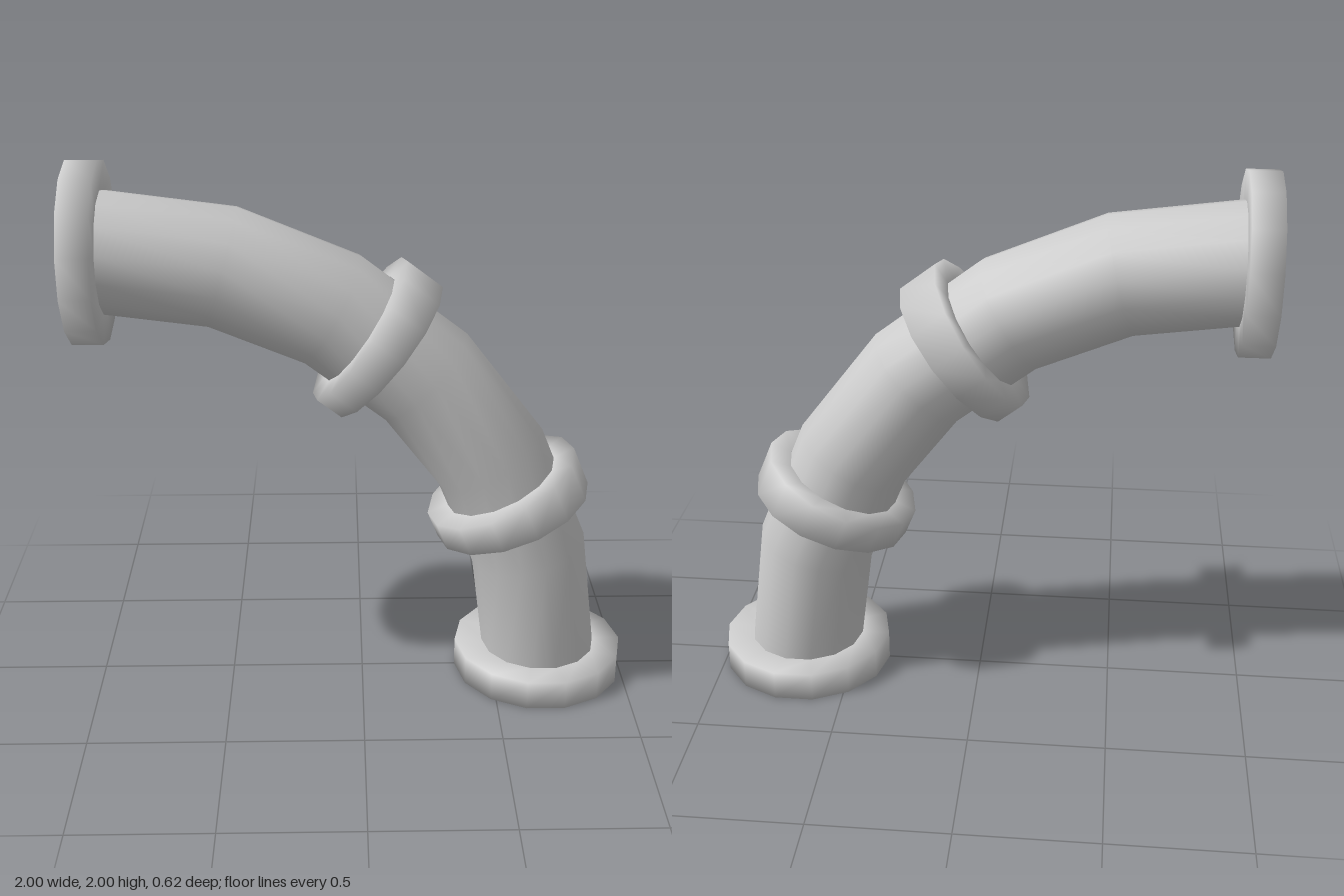
import * as THREE from 'three';

const SIDES = 14;
const CX = -0.89, CY = 0.11;   // centre of the bend
const R = 1.57;                // bend radius
const PIPE = 0.216, BORE = 0.208, FLANGE = 0.32, COLLAR = 0.297, LIP = 0.11;
const STEP = 15;               // degrees per straight pipe segment

// Sweeps a 14-sided ring through stations [angle in degrees, radius, shift along the tangent]
function sweep(name, stations, material) {
  const pos = [], index = [];
  for (const [deg, r, shift = 0] of stations) {
    const a = THREE.MathUtils.degToRad(deg);
    // keep centres on the chord between neighbouring bend joints
    const mid = Math.min(Math.floor(deg / STEP), 5) * STEP + STEP / 2;
    const rc = R * Math.cos(THREE.MathUtils.degToRad(STEP / 2)) / Math.cos(THREE.MathUtils.degToRad(deg - mid));
    for (let j = 0; j < SIDES; j++) {
      const t = j / SIDES * Math.PI * 2;
      const d = rc + r * Math.cos(t);
      pos.push(
        CX + d * Math.cos(a) - shift * Math.sin(a),
        CY + d * Math.sin(a) + shift * Math.cos(a),
        r * Math.sin(t));
    }
  }
  for (let i = 0; i < stations.length - 1; i++) {
    for (let j = 0; j < SIDES; j++) {
      const k = (j + 1) % SIDES;
      const a = i * SIDES + j, b = i * SIDES + k, c = a + SIDES, d = b + SIDES;
      index.push(a, c, b, b, c, d);
    }
  }
  const geo = new THREE.BufferGeometry();
  geo.setAttribute('position', new THREE.Float32BufferAttribute(pos, 3));
  geo.setIndex(index);
  geo.computeVertexNormals();
  const mesh = new THREE.Mesh(geo, material);
  mesh.name = name;
  return mesh;
}

export function createModel() {
  const group = new THREE.Group();
  group.name = 'pipeElbow';
  const mat = new THREE.MeshStandardMaterial({ color: 0xcccccc });

  // Bent pipe and its inner wall
  const joints = [0, 1, 2, 3, 4, 5, 6].map(i => i * STEP);
  group.add(sweep('pipe', joints.map(a => [a, PIPE]), mat));
  group.add(sweep('bore', joints.slice().reverse().map(a => [a, BORE]), mat));

  // End flanges with open holes
  group.add(sweep('bottomFlange', [
    [0, BORE, 0], [0, BORE, -LIP], [0, FLANGE, -LIP], [0, FLANGE, 0], [0, PIPE, 0],
  ], mat));
  group.add(sweep('topFlange', [
    [90, PIPE, 0], [90, FLANGE, 0], [90, FLANGE, LIP], [90, BORE, LIP], [90, BORE, 0],
  ], mat));

  // Collars around the pipe
  for (const [name, from, to] of [['lowerCollar', 21.3, 26], ['upperCollar', 50.8, 55.6]]) {
    group.add(sweep(name, [[from, PIPE], [from, COLLAR], [to, COLLAR], [to, PIPE]], mat));
  }
  return group;
}
